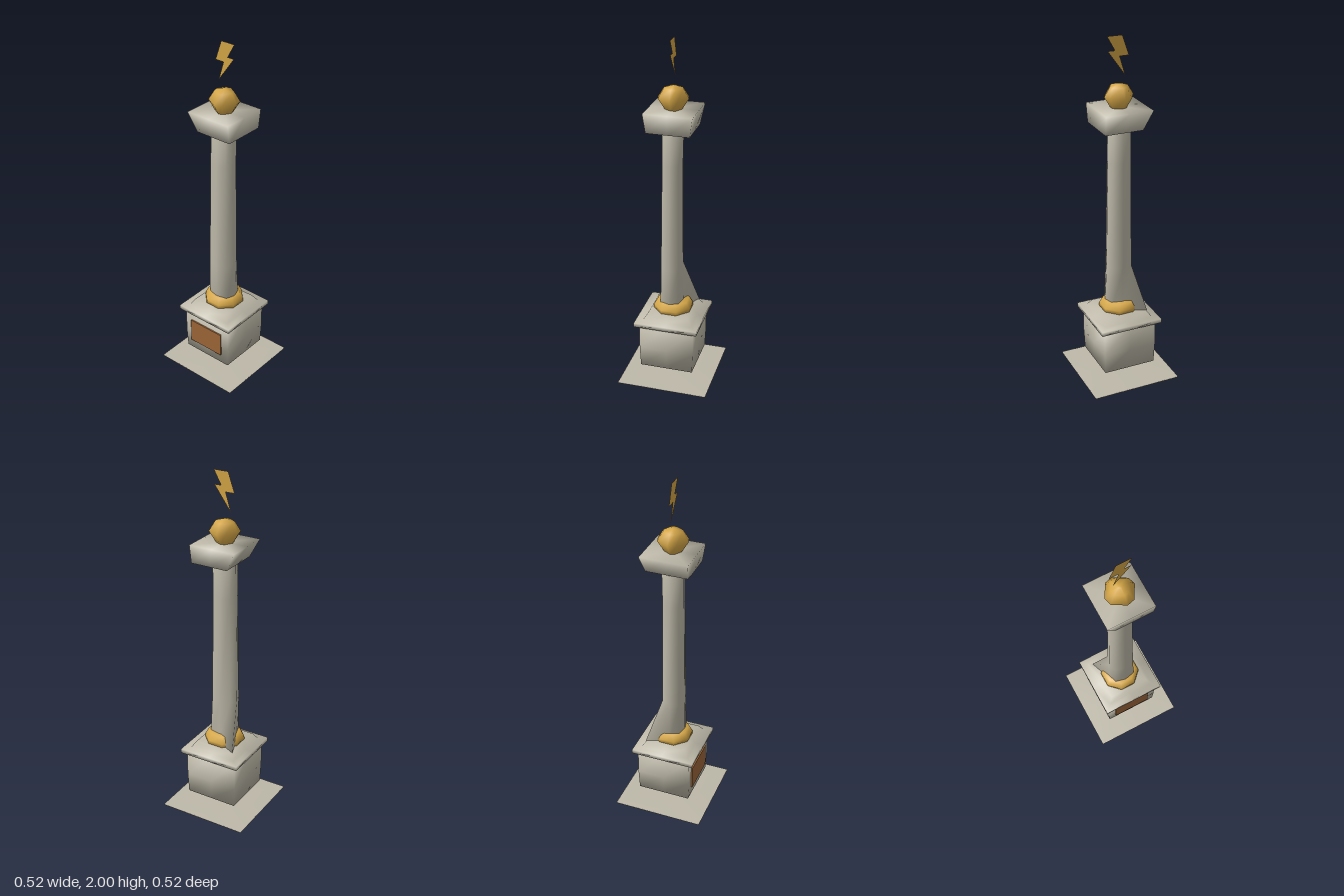
import * as THREE from 'three';

const material = (name, color, side = THREE.FrontSide) => {
  const m = new THREE.MeshStandardMaterial({ color, side });
  m.name = name;
  return m;
};

// Closed loft through rings of [x, z] points, smooth shaded; rings run from bottom to top
function loft(rings) {
  const n = rings[0].points.length, pos = [], idx = [];
  for (const { y, points } of rings) for (const [x, z] of points) pos.push(x, y, z);
  const last = (rings.length - 1) * n;
  for (const { y, points } of [rings[0], rings[rings.length - 1]]) {
    const mean = k => points.reduce((s, p) => s + p[k], 0) / n;
    pos.push(mean(0), y, mean(1));
  }
  const bottom = last + n, top = bottom + 1;
  for (let i = 0; i < n; i++) {
    const j = (i + 1) % n;
    for (let r = 0; r < last; r += n) {
      idx.push(r + i, r + n + i, r + j, r + n + i, r + n + j, r + j);
    }
    idx.push(bottom, i, j, top, last + j, last + i);
  }
  const g = new THREE.BufferGeometry();
  g.setAttribute('position', new THREE.Float32BufferAttribute(pos, 3));
  g.setIndex(idx);
  g.computeVertexNormals();
  return g;
}

// Rectangle outline with a point at each corner and each side's middle
function rect(y, x0, x1, z0, z1) {
  const cx = (x0 + x1) / 2, cz = (z0 + z1) / 2;
  return { y, points: [[x1, cz], [x1, z1], [cx, z1], [x0, z1], [x0, cz], [x0, z0], [cx, z0], [x1, z0]] };
}
const square = (y, r) => rect(y, -r, r, -r, r);

// Outline from angles in degrees
const round = (y, r, angles) => ({
  y, points: angles.map(a => [r * Math.cos(a * Math.PI / 180), r * Math.sin(a * Math.PI / 180)]),
});

// Rectangle outline with its corners drawn in to an octagon
function octagon(y, x0, x1, z0, z1) {
  const ring = rect(y, x0, x1, z0, z1);
  const cx = (x0 + x1) / 2, cz = (z0 + z1) / 2;
  for (const i of [1, 3, 5, 7]) {
    const p = ring.points[i];
    ring.points[i] = [cx + (p[0] - cx) * 0.78, cz + (p[1] - cz) * 0.78];
  }
  return ring;
}

export function createModel() {
  const stone = material('stone', 0xbdb8a8);
  const gold = material('gold', 0xd4a647);
  const goldSheet = material('gold sheet', 0xd4a647, THREE.DoubleSide);
  const copper = material('copper', 0x9c6638);

  const model = new THREE.Group();
  model.name = 'monumentColumn';
  const add = (name, geometry, mat) => {
    const mesh = new THREE.Mesh(geometry, mat);
    mesh.name = name;
    model.add(mesh);
    return mesh;
  };

  // Ground slab and pedestal
  add('groundSlab', loft([square(0, 0.26), square(0.008, 0.26)]), stone);
  add('pedestalBlock', loft([square(0.08, 0.153), square(0.2, 0.158), square(0.36, 0.158)]), stone);
  add('pedestalCornice', loft([
    square(0.35, 0.184), square(0.375, 0.184), square(0.378, 0.142), square(0.415, 0.118),
  ]), stone);
  add('plaque', new THREE.BoxGeometry(0.225, 0.145, 0.009), copper).position.set(-0.003, 0.215, 0.1615);

  // Gilded collar
  const eight = [0, 45, 90, 135, 180, 225, 270, 315].map(a => a + 22.5);
  add('collar', loft([round(0.41, 0.115, eight), round(0.435, 0.113, eight), round(0.47, 0.093, eight)]), gold);

  // Shaft, with a spur running out at the back right foot
  const foot = octagon(0.415, -0.075, 0.085, -0.06, 0.073);
  foot.points[5] = [-0.122, -0.122];
  add('shaft', loft([
    foot,
    octagon(0.68, -0.075, 0.073, -0.057, 0.071),
    octagon(1.31, -0.067, 0.063, -0.053, 0.063),
    octagon(1.53, -0.066, 0.063, -0.058, 0.061),
  ]), stone);

  // Capital, undercut on one side
  add('capital', loft([
    rect(1.515, -0.085, 0.131, -0.124, 0.116),
    rect(1.62, -0.138, 0.133, -0.138, 0.132),
  ]), stone);

  // Faceted ball
  const uneven = [0, 60, 90, 150, 180, 240, 270, 330];
  add('ball', loft([
    round(1.615, 0.045, uneven), round(1.68, 0.084, uneven),
    round(1.733, 0.052, uneven), round(1.745, 0.012, uneven),
  ]), gold);

  // Flat lightning bolt floating above
  const bolt = new THREE.Shape([
    [-0.02, 2], [-0.058, 1.89], [-0.005, 1.89], [-0.037, 1.785],
    [0.063, 1.922], [0.022, 1.922], [0.066, 2],
  ].map(([x, y]) => new THREE.Vector2(x, y)));
  add('bolt', new THREE.ShapeGeometry(bolt), goldSheet);

  return model;
}
